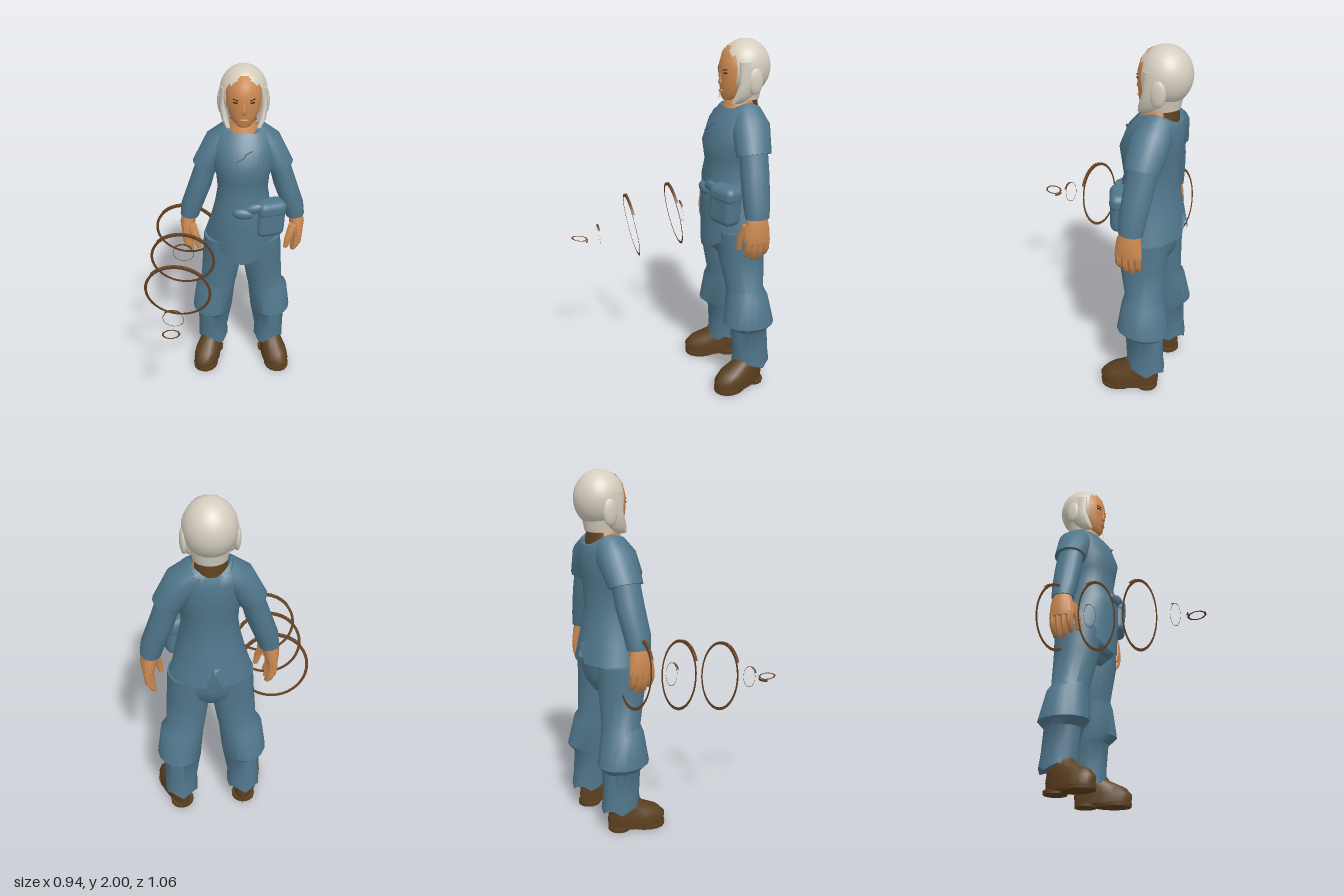
import * as THREE from 'three';
import { toCreasedNormals } from 'three/addons/utils/BufferGeometryUtils.js';
import { RoundedBoxGeometry } from 'three/addons/geometries/RoundedBoxGeometry.js';

const mat = (name, color, side = THREE.FrontSide) =>
  Object.assign(new THREE.MeshStandardMaterial({ color, side }), { name });

// Surface through oval sections [x, y, z, rx, rz, tilt], mirrored in x by s.
// rule(point, angle, row) may reshape single points.
function loft(sections, { seg = 16, s = 1, cap = true, crease = 0.75, rule } = {}) {
  let rows = sections.map(([x, y, z, rx, rz, t = 0]) => [x * s, y, z, rx, rz, t * s]);
  if (rows[0][1] > rows[rows.length - 1][1]) rows.reverse();
  if (cap) {
    const flat = (r) => [r[0], r[1], r[2], 1e-4, 1e-4, r[5]];
    rows = [flat(rows[0]), ...rows, flat(rows[rows.length - 1])];
  }
  const pos = [], idx = [];
  rows.forEach(([x, y, z, rx, rz, t], k) => {
    for (let i = 0; i < seg; i++) {
      const a = (i / seg) * Math.PI * 2, c = rx * Math.cos(a);
      const p = new THREE.Vector3(x + c * Math.cos(t), y + c * Math.sin(t), z + rz * Math.sin(a));
      if (rule) rule(p, a, k);
      pos.push(p.x, p.y, p.z);
      if (k < rows.length - 1) {
        const u = k * seg + i, v = k * seg + ((i + 1) % seg);
        idx.push(u, u + seg, v, v, u + seg, v + seg);
      }
    }
  });
  const g = new THREE.BufferGeometry();
  g.setAttribute('position', new THREE.Float32BufferAttribute(pos, 3));
  g.setIndex(idx);
  return toCreasedNormals(g, crease);
}

export function createModel() {
  const cloth = mat('blue cloth', 0x50768b, THREE.DoubleSide);
  const skin = mat('skin', 0xcd8a52);
  const hair = mat('pale hair', 0xd4cdbf, THREE.DoubleSide);
  const leather = mat('brown leather', 0x5c4020, THREE.DoubleSide);
  const bronze = mat('ring brown', 0x664224);
  const dark = mat('dark features', 0x3a2a1c);

  const model = new THREE.Group();
  const body = new THREE.Group();
  body.name = 'figure';
  body.position.x = 0.0925;
  model.add(body);
  const add = (name, geo, material, parent = body) => {
    const m = new THREE.Mesh(geo, material);
    m.name = name;
    parent.add(m);
    return m;
  };
  const blob = (name, material, [x, y, z], [rx, ry, rz]) => {
    const m = add(name, new THREE.SphereGeometry(1, 16, 12), material);
    m.position.set(x, y, z);
    m.scale.set(rx, ry, rz);
    return m;
  };

  // Tunic with rounded front apron, split back tail and dipped neckline
  const tunic = [
    [0, 0.97, -0.338, 0.225, 0.187], [0, 1.08, -0.326, 0.19, 0.18], [0, 1.18, -0.316, 0.165, 0.17],
    [0, 1.28, -0.323, 0.148, 0.147], [0, 1.37, -0.318, 0.155, 0.157], [0, 1.45, -0.316, 0.18, 0.164],
    [0, 1.57, -0.342, 0.185, 0.145], [0, 1.64, -0.365, 0.15, 0.108], [0, 1.67, -0.365, 0.1, 0.09],
  ];
  add('tunic', loft(tunic, {
    seg: 32, cap: false,
    rule: (p, a, k) => {
      const f = Math.sin(a);
      if (k === 0 && f > 0) {
        p.y -= 0.135 * f * f;
        p.x *= 1 - 0.2 * f;
      } else if (k === 0 && f < -0.99) p.y += 0.1;
      if (k === 7 && f < 0) p.y -= 0.03 * f * f;
      if (k === 8) p.y -= (f > 0 ? 0.05 : 0.055) * f * f;
    },
  }), cloth);
  const chestTie = new THREE.CatmullRomCurve3([
    [-0.045, 1.505, -0.172], [0, 1.53, -0.176], [0.015, 1.55, -0.184], [0.05, 1.565, -0.193],
  ].map((p) => new THREE.Vector3(...p)));
  add('chestTie', new THREE.TubeGeometry(chestTie, 10, 0.004, 5), cloth);
  add('trouserSeat', loft([
    [0, 1.02, -0.335, 0.18, 0.15], [0, 0.9, -0.335, 0.225, 0.145],
    [0, 0.84, -0.335, 0.2, 0.13], [0, 0.79, -0.335, 0.08, 0.1],
  ]), cloth);
  add('apronBody', loft([
    [0, 1.02, -0.285, 0.18, 0.125], [0, 0.93, -0.272, 0.16, 0.112],
    [0, 0.86, -0.268, 0.118, 0.105], [0, 0.832, -0.268, 0.075, 0.085],
  ], { seg: 20 }), cloth);

  // Dark lining showing at the back of the neckline
  const lining = add('collarLining',
    new THREE.CylinderGeometry(0.09, 0.1, 0.08, 16, 1, true, Math.PI * 0.65, Math.PI * 0.7), leather);
  lining.position.set(0, 1.637, -0.362);

  // Belt pouch and knotted fold
  const pouch = new THREE.Group();
  pouch.name = 'pouch';
  pouch.position.set(0.158, 1.128, -0.215);
  pouch.rotation.set(0, 0.4, -0.06);
  body.add(pouch);
  add('pouchBag', new RoundedBoxGeometry(0.17, 0.215, 0.115, 3, 0.04), cloth, pouch);
  add('pouchFlap', new RoundedBoxGeometry(0.176, 0.1, 0.125, 3, 0.04), cloth, pouch).position.y = 0.067;
  blob('sashKnot', cloth, [0.0, 1.185, -0.16], [0.065, 0.034, 0.03]).rotation.z = -0.1;
  blob('sashFold', cloth, [0.06, 1.215, -0.165], [0.06, 0.03, 0.025]).rotation.z = 0.25;

  for (const s of [1, -1]) {
    const side = s > 0 ? 'left' : 'right';
    // Short wide sleeve over a long one
    add(side + 'ShortSleeve', loft([
      [0.07, 1.6, -0.365, 0.08, 0.09, 1.0], [0.138, 1.545, -0.36, 0.09, 0.11, 0.6],
      [0.216, 1.412, -0.35, 0.08, 0.097, 0.36],
    ], { s }), cloth);
    add(side + 'LongSleeve', loft([
      [0.2, 1.46, -0.35, 0.06, 0.08, 0.3], [0.248, 1.3, -0.345, 0.066, 0.08, 0.28],
      [0.3, 1.16, -0.335, 0.064, 0.074, 0.2], [0.316, 1.09, -0.335, 0.056, 0.066, 0.1],
    ], { s }), cloth);

    // Hand hanging with fingers in a row along z
    add(side + 'Palm', loft([
      [0.318, 1.11, -0.335, 0.042, 0.052], [0.329, 1.04, -0.33, 0.045, 0.07],
      [0.335, 0.965, -0.33, 0.03, 0.076],
    ], { s, seg: 12 }), skin);
    [0.87, 0.845, 0.85, 0.87].forEach((tip, i) => {
      const z = -0.382 + i * 0.035;
      add(side + 'Finger', loft([
        [0.335, 0.985, z, 0.026, 0.02], [0.332, 0.92, z, 0.023, 0.019],
        [0.312, tip + 0.01, z, 0.016, 0.015], [0.306, tip, z, 0.008, 0.008],
      ], { s, seg: 8 }), skin);
    });
    add(side + 'Thumb', loft([
      [0.305, 1.05, -0.28, 0.027, 0.025], [0.278, 0.97, -0.255, 0.024, 0.02],
      [0.262, 0.9, -0.255, 0.014, 0.013],
    ], { s, seg: 8 }), skin);

    // Baggy trouser leg in two tiers, gathered below the knee
    add(side + 'TrouserLeg', loft([
      [0.118, 0.96, -0.335, 0.115, 0.135], [0.122, 0.8, -0.335, 0.12, 0.132],
      [0.144, 0.61, -0.355, 0.11, 0.108], [0.165, 0.57, -0.36, 0.122, 0.12],
      [0.185, 0.4, -0.368, 0.125, 0.15], [0.172, 0.36, -0.375, 0.106, 0.108],
      [0.183, 0.22, -0.385, 0.092, 0.105], [0.183, 0.135, -0.39, 0.095, 0.112],
    ], { s, rule: (p, a, k) => { if (k === 1) p.y += 0.018 * Math.sin(a * 5); } }), cloth);

    // Boot turned outward
    const boot = new THREE.Group();
    boot.name = side + 'Boot';
    boot.position.set(0.212 * s, 0, -0.305);
    boot.rotation.y = 0.28 * s;
    body.add(boot);
    const toe = (p) => { p.x *= 1 + p.z * 1.4; };
    add('bootUpper', loft([
      [0, 0.012, 0, 0.072, 0.163], [0, 0.07, 0, 0.078, 0.167], [0, 0.11, -0.015, 0.074, 0.145],
      [0, 0.15, -0.06, 0.066, 0.1], [0, 0.2, -0.08, 0.066, 0.082],
    ], { rule: toe, crease: 1 }), leather, boot);
    add('bootSole', loft([[0, 0, 0.06, 0.07, 0.104], [0, 0.02, 0.06, 0.072, 0.106]], { rule: toe }), leather, boot);
    add('bootHeel', loft([[0, 0, -0.1, 0.066, 0.064], [0, 0.02, -0.1, 0.068, 0.064]]), leather, boot);

    // Hair beside the face and over the ear
    add(side + 'HairLock', loft([
      [0.11, 1.89, -0.35, 0.02, 0.05], [0.117, 1.78, -0.352, 0.022, 0.052],
      [0.106, 1.71, -0.33, 0.02, 0.052], [0.088, 1.67, -0.298, 0.014, 0.03],
    ], { s, seg: 12, crease: 1.2 }), hair);
    blob(side + 'HairBun', hair, [0.128 * s, 1.79, -0.385], [0.02, 0.072, 0.043]);

    // Small eye and brow
    const plate = (name, w, h, y, z, roll) => {
      const m = add(side + name, new THREE.BoxGeometry(w, h, 0.006), dark);
      m.position.set(0.047 * s, y, z);
      m.rotation.set(0, 0.47 * s, roll * s);
    };
    plate('Eye', 0.026, 0.008, 1.828, -0.247, 0.05);
    plate('Brow', 0.034, 0.004, 1.845, -0.246, 0.18);
  }

  // Neck and face
  add('neck', loft([
    [0, 1.59, -0.345, 0.112, 0.095], [0, 1.635, -0.345, 0.085, 0.085], [0, 1.73, -0.355, 0.058, 0.06],
  ]), skin);
  add('face', loft([
    [0, 1.678, -0.295, 0.035, 0.038], [0, 1.7, -0.307, 0.06, 0.061], [0, 1.75, -0.325, 0.085, 0.084],
    [0, 1.8, -0.33, 0.098, 0.094], [0, 1.86, -0.335, 0.103, 0.1], [0, 1.92, -0.345, 0.092, 0.095],
    [0, 1.965, -0.35, 0.06, 0.07],
  ], { seg: 24, crease: 1 }), skin);
  add('nose', loft([
    [0, 1.76, -0.245, 0.01, 0.01], [0, 1.772, -0.241, 0.017, 0.016], [0, 1.79, -0.241, 0.011, 0.012],
    [0, 1.845, -0.241, 0.008, 0.007],
  ], { seg: 8, crease: 1.2 }), skin);
  blob('lips', skin, [0, 1.727, -0.243], [0.026, 0.008, 0.008]);

  // Rounded hair shells with their pole at the back, open round the face
  const shell = (name, phi, phiLength, theta, thetaLength, grow) => {
    const g = new THREE.SphereGeometry(1, 32, 20, phi, phiLength, theta, thetaLength);
    const m = add(name, g.rotateX(-Math.PI / 2), hair);
    m.position.set(0, 1.848, -0.378);
    m.scale.set(0.135 * grow, 0.152 * grow, 0.14 * grow);
  };
  shell('hair', 0, Math.PI * 2, 0, Math.PI * 0.72, 1);
  // Fringe: stepped corners at the temples and a short tuft in the middle
  for (const at of [0.7, Math.PI - 1.2]) shell('fringeCorner', at, 0.5, Math.PI * 0.7, Math.PI * 0.07, 1.03);
  shell('fringeTuft', Math.PI / 2 - 0.4, 0.8, Math.PI * 0.7, Math.PI * 0.04, 1.02);
  const nape = add('hairNape',
    new THREE.CylinderGeometry(0.105, 0.088, 0.09, 24, 1, true, Math.PI * 0.28, Math.PI * 1.44), hair);
  nape.position.set(0, 1.725, -0.373);

  // Floating rings ahead of the right hand: two flat faces and a band over the top
  const ring = (name, at, radius, width, depth, normal, seg) => {
    const g = new THREE.Group();
    g.name = name;
    g.position.set(...at);
    g.quaternion.setFromUnitVectors(new THREE.Vector3(0, 0, 1), new THREE.Vector3(...normal).normalize());
    model.add(g);
    for (const s of [1, -1]) {
      const face = add('ringFace', new THREE.RingGeometry(radius - width, radius, seg), bronze, g);
      face.position.z = (s * depth) / 2;
      face.rotation.y = s > 0 ? 0 : Math.PI;
    }
    const band = new THREE.CylinderGeometry(radius, radius, depth, seg, 1, true, Math.PI - 0.9, 1.8);
    add('ringBand', band.rotateX(Math.PI / 2), bronze, g);
  };
  const lean = [-0.1, -0.18, 1];
  [[-0.244, 0.965, -0.367], [-0.262, 0.917, -0.105], [-0.281, 0.868, 0.157]]
    .forEach((at) => ring('largeRing', at, 0.192, 0.016, 0.014, lean, 40));
  ring('smallRing', [-0.26, 0.928, -0.15], 0.064, 0.003, 0.012, lean, 16);
  ring('smallRing', [-0.297, 0.828, 0.36], 0.06, 0.003, 0.012, lean, 16);
  ring('flatRing', [-0.304, 0.805, 0.482], 0.051, 0.011, 0.014, [0, 1, -0.15], 9);

  return model;
}
